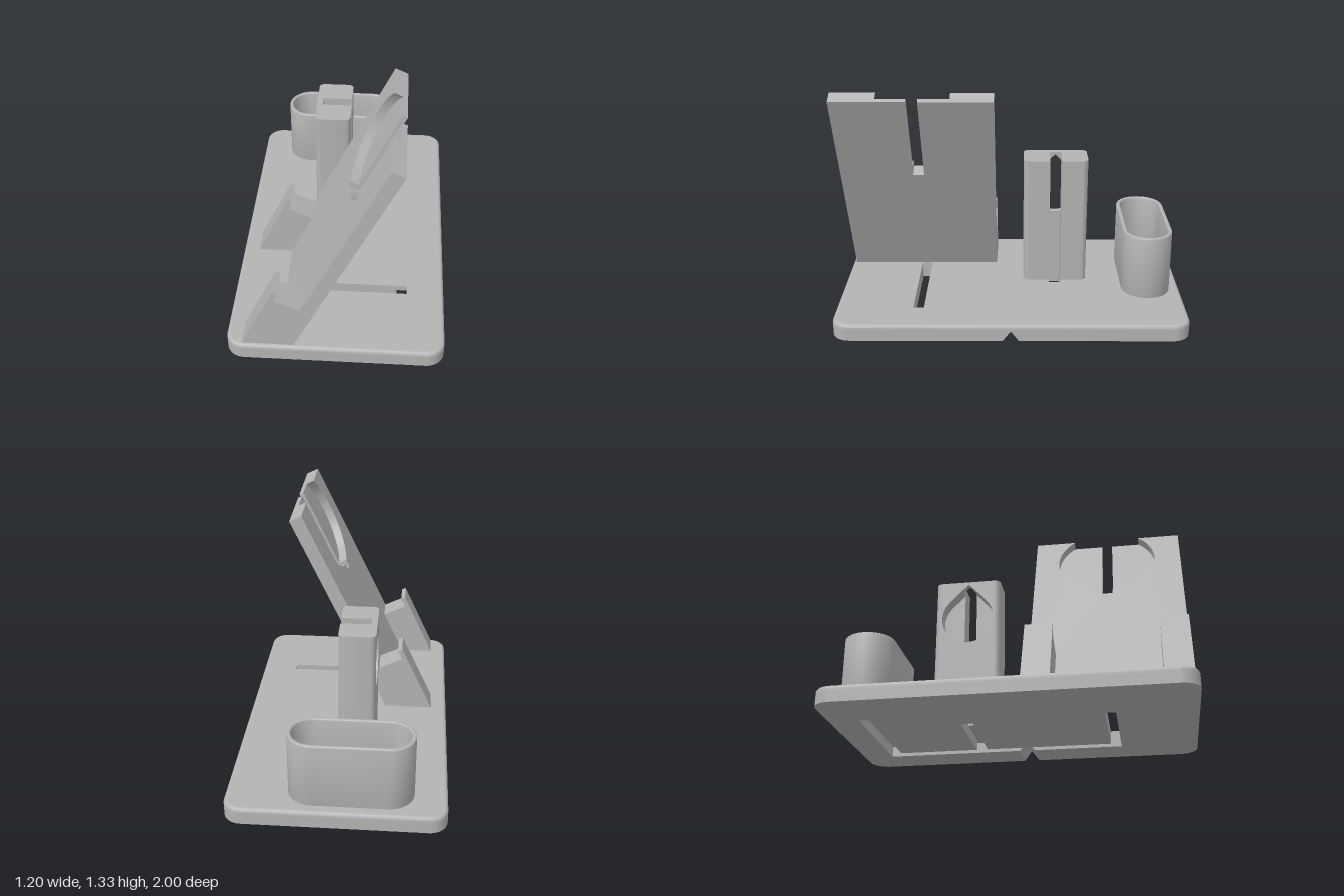
import * as THREE from 'three';
import { toCreasedNormals } from 'three/addons/utils/BufferGeometryUtils.js';

const grey = new THREE.MeshStandardMaterial({ color: 0xb4b4b4 });
grey.name = 'grey plastic';

const V = (x, y) => new THREE.Vector2(x, y);
const poly = (pts) => new THREE.Shape(pts.map(([x, y]) => V(x, y)));
const rect = (x0, x1, y0, y1) => poly([[x0, y0], [x1, y0], [x1, y1], [x0, y1]]);

// Counter-clockwise rounded rectangle, starting on the lower right corner's end
function roundedPoints(hx, hy, r, cx = 0, cy = 0, n = 10) {
  const pts = [];
  [[1, -1, -0.5], [1, 1, 0], [-1, 1, 0.5], [-1, -1, 1]].forEach(([sx, sy, a]) => {
    for (let i = 0; i <= n; i++) {
      const t = (a + (0.5 * i) / n) * Math.PI;
      pts.push([cx + sx * (hx - r) + r * Math.cos(t), cy + sy * (hy - r) + r * Math.sin(t)]);
    }
  });
  return pts;
}

function extrude(shape, depth, extra = {}) {
  return new THREE.ExtrudeGeometry(shape, { depth, bevelEnabled: false, curveSegments: 24, ...extra });
}

function addMesh(parent, name, geo) {
  const mesh = new THREE.Mesh(toCreasedNormals(geo, 0.6), grey);
  mesh.name = name;
  parent.add(mesh);
  return mesh;
}

// Plan shape (x, -z) raised from y0
const upright = (shape, y0, h, extra) => extrude(shape, h, extra).rotateX(-Math.PI / 2).translate(0, y0, 0);
// Side shape (-z, y) extruded along x from x0 to x1
const sideways = (shape, x0, x1) => extrude(shape, x1 - x0).rotateY(Math.PI / 2).translate(x0, 0, 0);

// Skirt joining rounded-rectangle loops given as [inset, y]
function skirt(hx, hz, r, profile) {
  const pos = [], idx = [];
  const loops = profile.map(([d, y]) => roundedPoints(hx - d, hz - d, r - d).map(([x, v]) => [x, y, -v]));
  const n = loops[0].length;
  loops.forEach((l) => l.forEach((p) => pos.push(...p)));
  for (let j = 0; j < loops.length - 1; j++) {
    for (let i = 0; i < n; i++) {
      const a = j * n + i, b = j * n + ((i + 1) % n);
      idx.push(a, b, b + n, a, b + n, a + n);
    }
  }
  const g = new THREE.BufferGeometry();
  g.setAttribute('position', new THREE.Float32BufferAttribute(pos, 3));
  g.setIndex(idx);
  g.computeVertexNormals();
  return g;
}

function buildBase() {
  const g = new THREE.Group();
  g.name = 'base';
  // Lower layer: the cable channels enter from the +x edge as one inlet
  const inlet = [
    [0.6, 0.045], [0.39, 0.045], [0.39, 0.56], [-0.215, 0.56], [-0.215, 0.5], [0.33, 0.5],
    [0.33, -0.228], [-0.15, -0.228], [-0.15, -0.297], [0.33, -0.297], [0.33, -0.76],
    [-0.29, -0.76], [-0.29, -0.83], [0.39, -0.83], [0.39, -0.045], [0.6, -0.045],
  ].map(([x, z]) => [x, -z]);
  const outline = roundedPoints(0.6, 1, 0.1);
  const lower = poly([...outline.slice(0, 11), ...inlet, ...outline.slice(11)]);
  addMesh(g, 'lowerPlate', upright(lower, 0, 0.06));
  // Wedges that make the cable exit triangular
  for (const s of [-1, 1]) {
    const pts = [[s * 0.045, 0], [s * 0.045, 0.06], [0, 0.06]];
    addMesh(g, 'cableExitWedge', sideways(poly(pts), 0.39, 0.6));
  }
  // Upper layer with through slots
  const upper = poly(roundedPoints(0.58, 0.98, 0.08));
  upper.holes.push(
    rect(-0.215, 0.39, -0.56, -0.5),
    rect(-0.15, 0.06, 0.228, 0.297),
    rect(-0.15, -0.02, 0.788, 0.805),
  );
  addMesh(g, 'upperPlate', upright(upper, 0.06, 0.035));
  const profile = [[0, 0.06]];
  for (let i = 0; i <= 5; i++) {
    const a = (i / 5) * Math.PI / 2;
    profile.push([0.02 * (1 - Math.cos(a)), 0.075 + 0.02 * Math.sin(a)]);
  }
  addMesh(g, 'roundedRim', skirt(0.6, 1, 0.1, profile));
  return g;
}

function buildPhoneRest() {
  const g = new THREE.Group();
  g.name = 'phoneRest';
  const lean = Math.atan2(0.585, 1.235), len = 1.366, t = 0.078, cut = 0.05;
  const z0 = 0.09, z1 = 0.98, s0 = 0.5, s1 = 0.563, slotEnd = 0.82, c = 0.53;
  // Back layer, slotted from the top
  const back = poly([[z0, 0], [z1, 0], [z1, len], [s1, len], [s1, slotEnd], [s0, slotEnd], [s0, len], [z0, len]]);
  // Front layer: slot plus a round recess running off the top edge
  const r = 0.295, cy = 1.15;
  const front = [[z0, 0], [z1, 0], [z1, len]];
  const aTop = Math.asin((len - cy) / r);
  const aR = -Math.acos((s1 - c) / r), aL = -Math.acos((s0 - c) / r);
  const arc = (a, b) => {
    for (let i = 0; i <= 24; i++) {
      const k = a + ((b - a) * i) / 24;
      front.push([c + r * Math.cos(k), cy + r * Math.sin(k)]);
    }
  };
  arc(aTop, aR);
  front.push([s1, slotEnd], [s0, slotEnd]);
  arc(aL, -Math.PI - aTop);
  front.push([z0, len]);
  const panel = new THREE.Group();
  panel.name = 'leaningPanel';
  addMesh(panel, 'panelBack', extrude(back, t - cut).translate(0, 0, -t));
  addMesh(panel, 'panelFront', extrude(poly(front), cut).translate(0, 0, -cut));
  const sn = Math.sin(lean), cs = Math.cos(lean);
  const m = new THREE.Matrix4().makeBasis(
    new THREE.Vector3(0, 0, 1), new THREE.Vector3(sn, cs, 0), new THREE.Vector3(-cs, sn, 0));
  m.setPosition(-0.31, 0.095, 0);
  panel.applyMatrix4(m);
  g.add(panel);
  // Two hooked feet that hold the lower edge
  const hook = poly([[-0.51, 0.09], [-0.3, 0.09], [-0.178, 0.362], [-0.32, 0.43], [-0.295, 0.485], [-0.32, 0.497]]);
  for (const z of [0.087, 0.823]) addMesh(g, 'hookFoot', extrude(hook, 0.155).translate(0, 0, z));
  return g;
}

function buildWatchStand() {
  const g = new THREE.Group();
  g.name = 'watchStand';
  const y0 = 0.09, y1 = 0.855, x0 = -0.185, x1 = 0.022, w = 0.155, s = 0.034;
  const cy = 0.626, r = 0.151, xs = -0.15, xd = -0.105;
  // Teardrop half outline, from the bottom end angle up to the pointed top
  const arc = (from, to) => Array.from({ length: 33 }, (_, i) => {
    const a = from + ((to - from) * i) / 32;
    return [r * Math.cos(a), cy + r * Math.sin(a)];
  });
  const face = rect(-w, w, y0, y1);
  face.holes.push(poly([...arc(Math.PI * 0.75, Math.PI * 2.25), [0, 0.84]]));
  addMesh(g, 'recessFace', sideways(face, x0, xs));
  const half = [[s, y0], [w, y0], [w, y1], [s, y1], [s, 0.84 - s], ...arc(Math.PI / 4, -Math.acos(s / r))];
  const plain = [[s, y0], [w, y0], [w, y1], [s, y1]];
  for (const k of [-1, 1]) {
    const flip = (pts) => poly(pts.map(([u, y]) => [k * u, y]));
    addMesh(g, 'recessSide', sideways(flip(half), xs, xd));
    addMesh(g, 'slotSide', sideways(flip(plain), xd, x1));
    // Ends with rounded corners
    const e = 0.0325, end = [[x0, 0], [x1, 0]];
    for (let i = 0; i <= 6; i++) {
      const a = (i / 12) * Math.PI;
      end.push([x1 - 0.03 + 0.03 * Math.cos(a), e - 0.03 + 0.03 * Math.sin(a)]);
    }
    for (let i = 0; i <= 6; i++) {
      const a = (0.5 + i / 12) * Math.PI;
      end.push([x0 + 0.03 + 0.03 * Math.cos(a), e - 0.03 + 0.03 * Math.sin(a)]);
    }
    addMesh(g, 'roundedEnd', upright(poly(end.map(([x, v]) => [x, k * (w + v)])), y0, y1 - y0));
  }
  g.position.z = -0.2625;
  return g;
}

function buildPocket() {
  const g = new THREE.Group();
  g.name = 'pocket';
  const hx = 0.343, hz = 0.142, wall = 0.023, cx = -0.078, cv = 0.797, b = 0.008;
  const stadium = (d) => poly(roundedPoints(hx - d, hz - d, hz - d - 0.001, cx, cv, 14));
  const ring = stadium(0);
  ring.holes.push(stadium(wall));
  addMesh(g, 'pocketWall', upright(ring, 0.08, 0.39 - b, {
    bevelEnabled: true, bevelSize: b, bevelThickness: b, bevelOffset: -b, bevelSegments: 3,
  }));
  // Floor with the cable opening
  const floor = stadium(wall - 0.005);
  floor.holes.push(rect(-0.15, -0.02, 0.76, 0.832));
  addMesh(g, 'pocketFloor', upright(floor, 0.09, 0.025));
  return g;
}

export function createModel() {
  const model = new THREE.Group();
  model.name = 'chargingDock';
  model.add(buildBase(), buildPhoneRest(), buildWatchStand(), buildPocket());
  return model;
}
